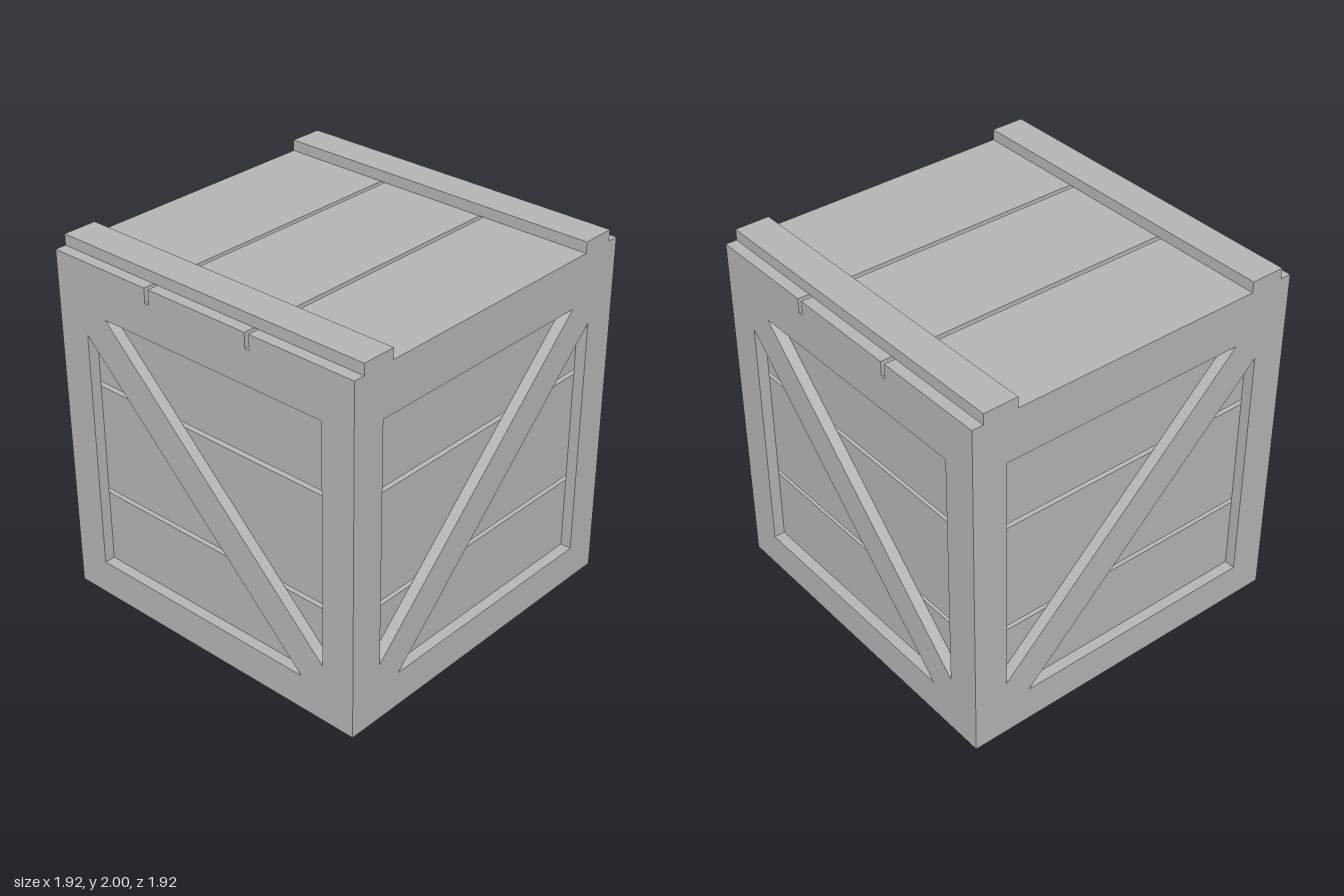
import * as THREE from 'three';

const HALF = 0.96;      // half width of the crate
const INNER = 0.9;      // half width inside the outer frames
const TRIM = HALF - INNER;
const BOARD = 0.08;     // thickness of planks
const WALL_TOP = 1.86;
const GAP = 0.026;
const OPEN = { x: 0.77, bottom: 0.196, top: 1.67 };

export function createModel() {
  const crate = new THREE.Group();
  crate.name = 'crate';
  const wood = new THREE.MeshStandardMaterial({ color: 0xb4b4b4 });
  wood.name = 'grey wood';

  const add = (parent, name, geometry, x = 0, y = 0, z = 0) => {
    const mesh = new THREE.Mesh(geometry, wood);
    mesh.name = name;
    mesh.position.set(x, y, z);
    parent.add(mesh);
  };
  const polygon = (points) => new THREE.Shape(points.map(([x, y]) => new THREE.Vector2(x, y)));
  const rect = (x, y0, y1) => polygon([[-x, y0], [x, y0], [x, y1], [-x, y1]]);
  const extrude = (shape) => new THREE.ExtrudeGeometry(shape, { depth: TRIM, bevelEnabled: false });

  // Four walls: planks, a frame around them and a diagonal brace
  const plankHeight = (WALL_TOP - 2 * GAP) / 3;
  ['front', 'right', 'back', 'left'].forEach((side, i) => {
    const wall = new THREE.Group();
    wall.name = side + 'Wall';
    wall.rotation.y = i * Math.PI / 2;
    const isSide = i % 2 === 1;

    const plankWidth = 2 * (isSide ? INNER - BOARD : INNER);
    for (let p = 0; p < 3; p++) {
      add(wall, 'wallPlank', new THREE.BoxGeometry(plankWidth, plankHeight, BOARD),
        0, plankHeight / 2 + p * (plankHeight + GAP), INNER - BOARD / 2);
    }

    const frame = rect(isSide ? INNER : HALF, 0, WALL_TOP);
    frame.holes.push(rect(OPEN.x, OPEN.bottom, OPEN.top));
    add(wall, 'frame', extrude(frame), 0, 0, INNER);

    // The brace runs the other way on the left and right walls
    const m = isSide ? -1 : 1;
    const { x, bottom, top } = OPEN;
    const brace = polygon([
      [-x, top], [-x, top - 0.13], [x - 0.14, bottom],
      [x, bottom], [x, bottom + 0.13], [-x + 0.14, top],
    ].map(([px, py]) => [m * px, py]));
    add(wall, 'brace', extrude(brace), 0, 0, INNER);
    crate.add(wall);
  });

  // Floor inside the walls
  const floor = 2 * (INNER - BOARD);
  add(crate, 'floor', new THREE.BoxGeometry(floor, BOARD, floor), 0, BOARD / 2, 0);

  // Lid: three planks held by two cleats
  const lid = new THREE.Group();
  lid.name = 'lid';
  const lidPlank = (2 * HALF - 2 * GAP) / 3;
  for (const i of [-1, 0, 1]) {
    add(lid, 'lidPlank', new THREE.BoxGeometry(lidPlank, BOARD, 2 * HALF),
      i * (lidPlank + GAP), WALL_TOP + BOARD / 2, 0);
  }
  for (const s of [-1, 1]) {
    add(lid, 'lidCleat', new THREE.BoxGeometry(2 * HALF, TRIM, 0.19),
      0, WALL_TOP + BOARD + TRIM / 2, s * 0.803);
  }
  crate.add(lid);
  return crate;
}
